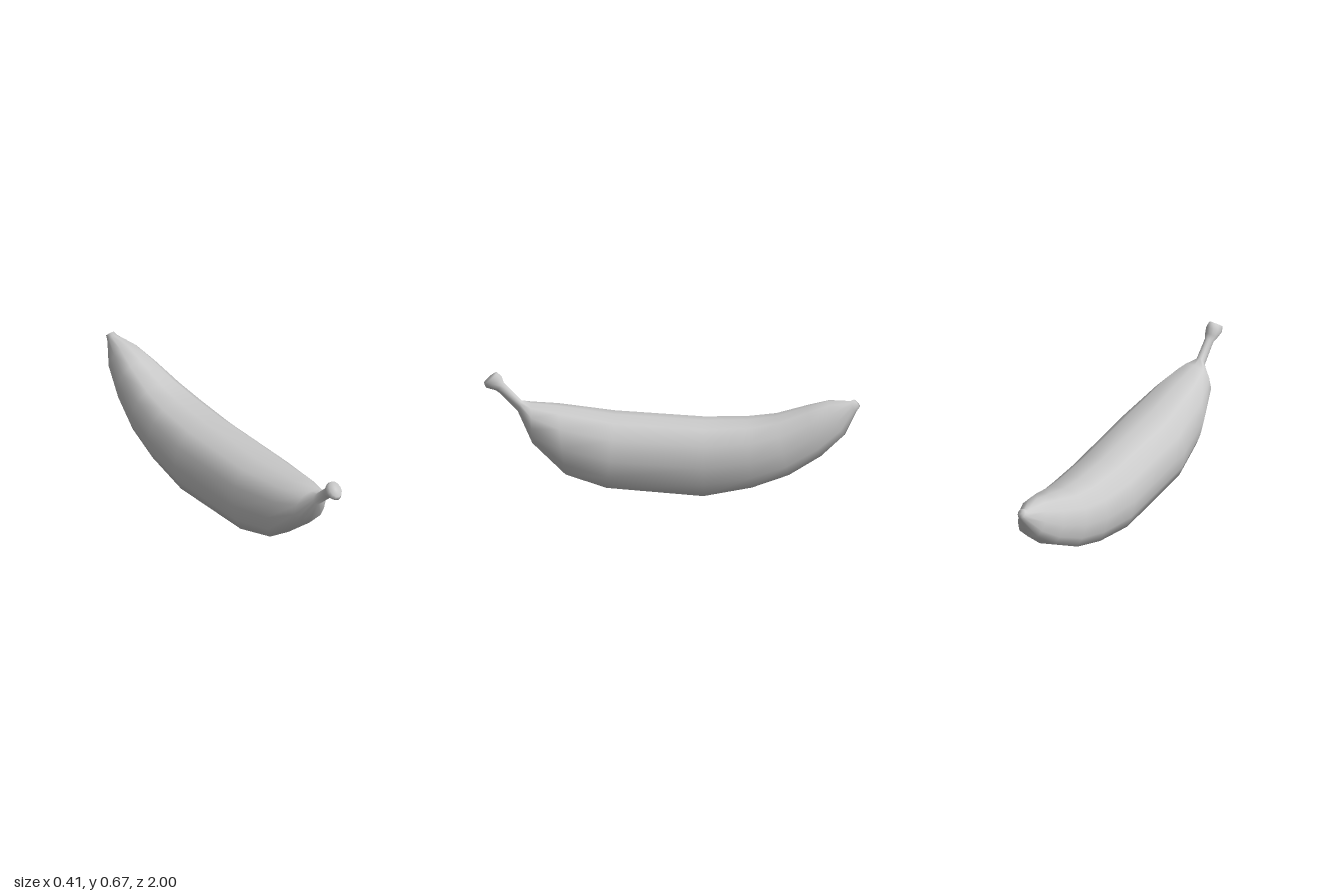
import * as THREE from 'three';

// Rings from stem to blossom tip: top z, top y, bottom z, bottom y, half width, roundness
const RINGS = [
  [0.93, 0.668, 1.0, 0.608, 0.034, 1],
  [0.905, 0.645, 0.99, 0.583, 0.042, 1],
  [0.895, 0.612, 0.94, 0.57, 0.036, 1],
  [0.875, 0.59, 0.915, 0.55, 0.023, 1],
  [0.8, 0.51, 0.82, 0.45, 0.026, 1],
  [0.75, 0.495, 0.74, 0.28, 0.108, 0.3],
  [0.605, 0.48, 0.56, 0.11, 0.165, 0],
  [0.305, 0.435, 0.35, 0.045, 0.205, 0],
  [-0.17, 0.405, -0.17, 0.0, 0.202, 0],
  [-0.4, 0.41, -0.43, 0.05, 0.188, 0],
  [-0.55, 0.43, -0.63, 0.12, 0.165, 0],
  [-0.72, 0.485, -0.8, 0.22, 0.125, 0.1],
  [-0.83, 0.518, -0.92, 0.33, 0.085, 0.4],
  [-0.945, 0.518, -0.98, 0.46, 0.03, 1],
  [-0.965, 0.527, -1.0, 0.49, 0.022, 1],
];

// Half section of the fruit, bottom to top: share of half width, share of height
const HALF = [[0, 0], [0.77, 0.08], [0.9, 0.25], [1, 0.5], [0.87, 0.78], [0.52, 0.96], [0, 1]];
const SECTION = [...HALF, ...HALF.slice(1, -1).reverse().map(([x, y]) => [-x, y])];
const N = SECTION.length;

function ringPoints([zt, yt, zb, yb, w, round]) {
  return SECTION.map(([sx, sy], i) => {
    const a = (i / N) * Math.PI * 2;
    const x = THREE.MathUtils.lerp(sx, Math.sin(a), round);
    const t = THREE.MathUtils.lerp(sy, 0.5 - 0.5 * Math.cos(a), round);
    return [x * w, THREE.MathUtils.lerp(yb, yt, t), THREE.MathUtils.lerp(zb, zt, t)];
  });
}

function loft(rings) {
  const positions = rings.flatMap(ringPoints).flat();
  const index = [];
  for (let r = 0; r < rings.length - 1; r++) {
    for (let i = 0; i < N; i++) {
      const j = (i + 1) % N;
      const a = r * N + i, b = r * N + j, c = a + N, d = b + N;
      index.push(a, c, d, a, d, b);
    }
  }
  // Close both ends with a fan
  const addCap = (r, front) => {
    const [zt, yt, zb, yb] = rings[r];
    const centre = positions.length / 3;
    positions.push(0, (yt + yb) / 2, (zt + zb) / 2);
    for (let i = 0; i < N; i++) {
      const a = r * N + i, b = r * N + ((i + 1) % N);
      if (front) index.push(centre, a, b);
      else index.push(centre, b, a);
    }
  };
  addCap(0, true);
  addCap(rings.length - 1, false);
  const geometry = new THREE.BufferGeometry();
  geometry.setAttribute('position', new THREE.Float32BufferAttribute(positions, 3));
  geometry.setIndex(index);
  geometry.computeVertexNormals();
  return geometry;
}

export function createModel() {
  const group = new THREE.Group();
  group.name = 'banana';
  // Stem, peel and tip are one continuous smooth skin
  const peel = new THREE.Mesh(loft(RINGS), new THREE.MeshStandardMaterial({ color: 0xcccccc }));
  peel.name = 'peelWithStem';
  group.add(peel);
  return group;
}
